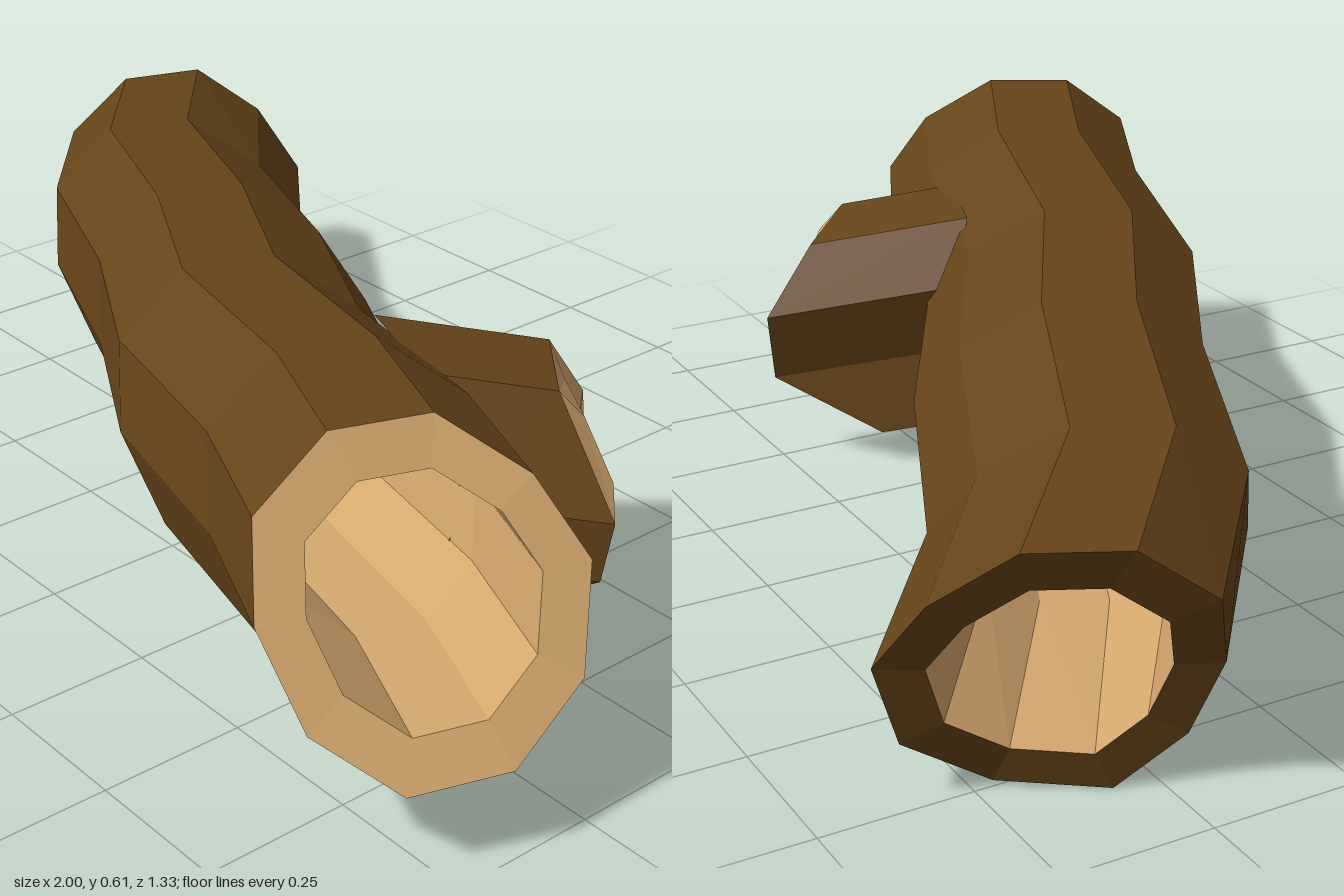
import * as THREE from 'three';

const V = (x, y, z) => new THREE.Vector3(x, y, z);

// Skin a sequence of closed rings (equal point counts) with flat quads
function loft(name, rings, material) {
  const pos = [];
  for (let r = 0; r < rings.length - 1; r++) {
    const a = rings[r], b = rings[r + 1], n = a.length;
    for (let i = 0; i < n; i++) {
      const j = (i + 1) % n;
      for (const p of [a[i], a[j], b[i], a[j], b[j], b[i]]) pos.push(p.x, p.y, p.z);
    }
  }
  const geo = new THREE.BufferGeometry();
  geo.setAttribute('position', new THREE.Float32BufferAttribute(pos, 3));
  geo.computeVertexNormals();
  const mesh = new THREE.Mesh(geo, material);
  mesh.name = name;
  return mesh;
}

export function createModel() {
  const group = new THREE.Group();
  group.name = 'hollowLog';
  const bark = new THREE.MeshStandardMaterial({ color: 0x664519, flatShading: true });
  const wood = new THREE.MeshStandardMaterial({ color: 0xd6a86e, flatShading: true });

  // Ten-sided slanted cross-section at the cut end
  const section = [
    V(0.75, 0.38, 0.665), V(0.69, 0.51, 0.62), V(0.70, 0.605, 0.495), V(0.76, 0.61, 0.35),
    V(0.86, 0.52, 0.25), V(0.94, 0.40, 0.205), V(0.99, 0.25, 0.26), V(1.0, 0.16, 0.40),
    V(0.94, 0.15, 0.55), V(0.84, 0.24, 0.645),
  ];
  const centre = V(0.845, 0.38, 0.435);
  // Offsets of the section along the bent trunk (x, z); y falls steadily
  const path = [[0, 0], [-0.27, -0.13], [-0.66, -0.25], [-1.0, -0.45], [-1.4, -0.63], [-1.7, -0.87]];
  // Small skew of the far cut
  const skew = [0, 0.01, 0.02, 0.02, 0, 0, -0.02, -0.05, -0.08, -0.03];
  const trunk = (scale) => path.map(([dx, dz], k) => section.map((p, i) => {
    const q = p.clone().sub(centre).multiplyScalar(scale).add(centre).add(V(dx, dx * 0.086, dz));
    if (k === path.length - 1) q.x += skew[i] * scale;
    return q;
  }));
  const outer = trunk(1), inner = trunk(0.7);
  const last = path.length - 1;
  group.add(loft('trunkBark', [...outer, inner[last]], bark));
  group.add(loft('trunkHollowAndCutRim', [...[...inner].reverse(), outer[0]], wood));

  // Broken branch stub: uneven eight-sided rim, running back into the trunk
  const rim = [
    V(0.45, 0.437, -0.20), V(0.445, 0.31, -0.295), V(0.49, 0.17, -0.265), V(0.37, 0.067, -0.10),
    V(0.58, 0.08, 0.064), V(0.74, 0.17, -0.04), V(0.745, 0.27, -0.06), V(0.61, 0.45, -0.06),
  ];
  const lip = [
    V(0.49, 0.38, -0.20), V(0.47, 0.29, -0.263), V(0.49, 0.185, -0.235), V(0.44, 0.107, -0.14),
    V(0.57, 0.117, -0.03), V(0.69, 0.21, -0.07), V(0.70, 0.31, -0.10), V(0.63, 0.40, -0.10),
  ];
  // Slide a point back along the branch until it reaches the given depth
  const slide = (p, depth) => {
    const t = p.x * 0.55 - p.z * 0.83 - depth;
    return p.clone().add(V(-0.55 * t, 0.2 * t, 0.83 * t));
  };
  const rootDepth = [0.12, 0.13, 0.13, 0.02, 0.04, 0.18, 0.22, 0.17];
  const root = rim.map((p, i) => slide(p, rootDepth[i]));
  const floor = lip.map((p) => slide(p, 0.27 + 0.25 * (p.x * 0.83 + p.z * 0.55 - 0.4)));
  const mid = floor.reduce((s, p) => s.add(p), V(0, 0, 0)).divideScalar(floor.length);
  group.add(loft('branchBark', [rim, root], bark));
  group.add(loft('branchHollowAndRim', [floor.map(() => mid), floor, lip, rim], wood));

  return group;
}
